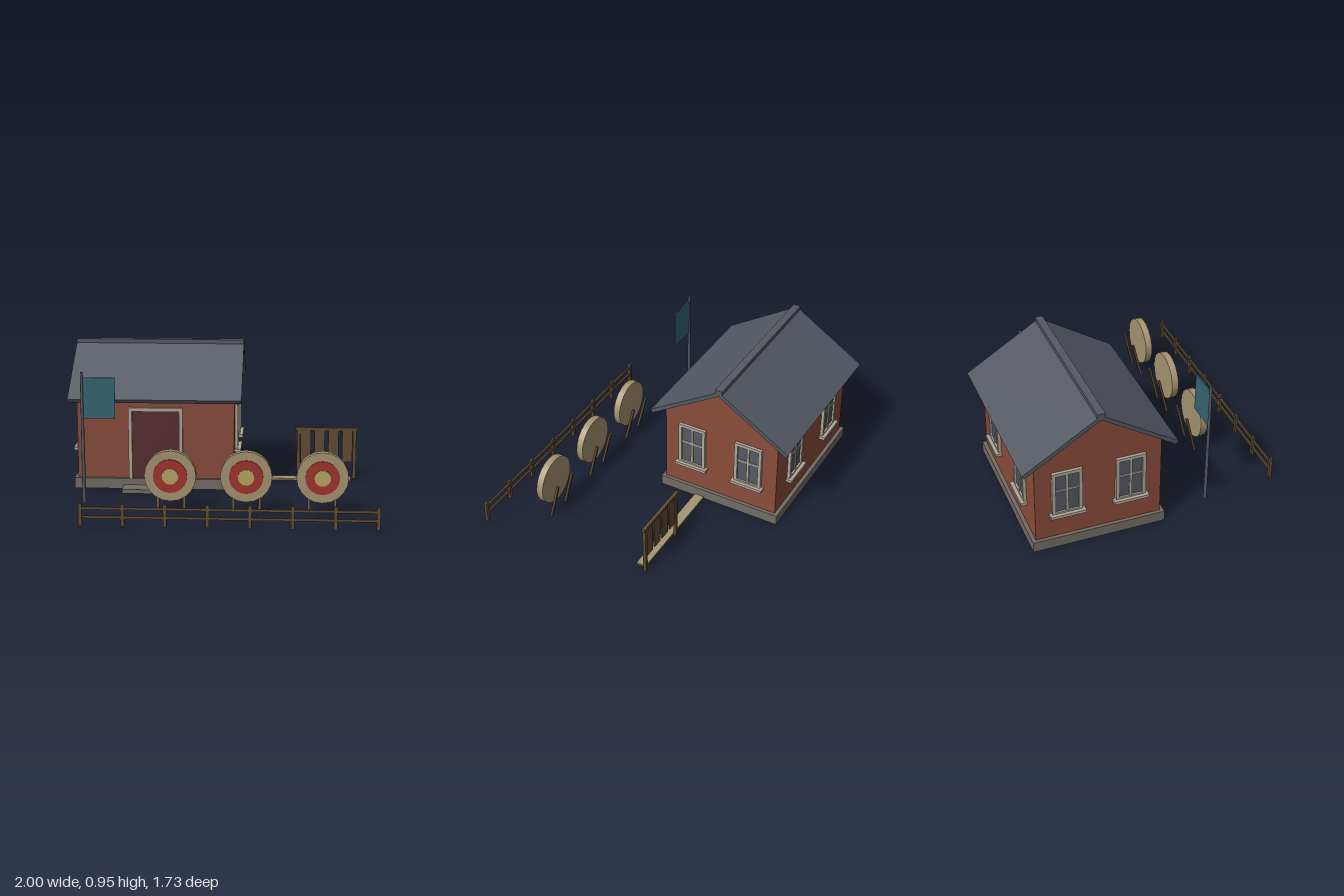
import * as THREE from 'three';

const mat = (name, color) => {
  const m = new THREE.MeshStandardMaterial({ color });
  m.name = name;
  return m;
};

export function createModel() {
  const brick = mat('brick', 0x8a4c3c);
  const slate = mat('slate', 0x555963);
  const trim = mat('trim', 0xb0a898);
  const stone = mat('stone', 0x736d64);
  const doorRed = mat('doorRed', 0x572d30);
  const wood = mat('darkWood', 0x624d32);
  const straw = mat('straw', 0xa69572);
  const red = mat('targetRed', 0xa2332d);
  const gold = mat('targetGold', 0xb8a662);
  const teal = mat('flagTeal', 0x346772);

  const model = new THREE.Group();
  model.name = 'archeryLodge';

  const add = (parent, name, geometry, material, x = 0, y = 0, z = 0) => {
    const mesh = new THREE.Mesh(geometry, material);
    mesh.name = name;
    mesh.position.set(x, y, z);
    parent.add(mesh);
    return mesh;
  };
  // Box given by its minimum and maximum on each axis
  const box = (parent, name, material, x0, x1, y0, y1, z0, z1) =>
    add(parent, name, new THREE.BoxGeometry(x1 - x0, y1 - y0, z1 - z0), material,
      (x0 + x1) / 2, (y0 + y1) / 2, (z0 + z1) / 2);
  const group = (parent, name, x = 0, y = 0, z = 0) => {
    const g = new THREE.Group();
    g.name = name;
    g.position.set(x, y, z);
    parent.add(g);
    return g;
  };
  // Profile in (z, y), extruded along x and centred
  const alongX = (points, length) => {
    const shape = new THREE.Shape(points.map(([a, b]) => new THREE.Vector2(a, b)));
    return new THREE.ExtrudeGeometry(shape, { depth: length, bevelEnabled: false })
      .translate(0, 0, -length / 2).rotateY(Math.PI / 2);
  };

  // House, centred on its own ridge line
  const ground = 0.013;
  const house = group(model, 'house', -0.432, 0, -0.377);
  const halfX = 0.518, halfZ = 0.403;
  box(house, 'foundation', stone, -0.541, 0.541, ground, 0.083, -0.427, 0.427);
  box(house, 'doorStep', stone, -0.213, 0.213, ground, 0.04, 0.427, 0.543);
  add(house, 'walls', alongX([[-halfZ, 0.083], [halfZ, 0.083], [halfZ, 0.655],
    [0, 0.908], [-halfZ, 0.655]], halfX * 2), brick);
  add(house, 'roof', alongX([[-0.478, 0.607], [0, 0.907], [0.478, 0.607],
    [0.491, 0.63], [0, 0.938], [-0.491, 0.63]], 1.136), slate);
  box(house, 'ridgeCap', slate, -0.568, 0.568, 0.918, 0.95, -0.025, 0.025);

  // Door with its frame
  const door = group(house, 'door', 0, 0, halfZ);
  box(door, 'doorPanel', doorRed, -0.155, 0.155, 0.083, 0.537, 0, 0.009);
  for (const s of [-1, 1]) {
    box(door, 'doorJamb', trim, s * 0.167 - 0.012, s * 0.167 + 0.012, 0.083, 0.537, 0, 0.02);
  }
  box(door, 'doorLintel', trim, -0.179, 0.179, 0.537, 0.562, 0, 0.02);

  // Windows on both gables and the back wall
  const addWindow = (x, z, turn) => {
    const w = group(house, 'window', x, 0, z);
    w.rotation.y = turn;
    box(w, 'glass', slate, -0.075, 0.075, 0.26, 0.545, 0, 0.008);
    for (const s of [-1, 1]) {
      box(w, 'frameSide', trim, s * 0.085 - 0.011, s * 0.085 + 0.011, 0.26, 0.565, 0, 0.02);
    }
    box(w, 'frameTop', trim, -0.075, 0.075, 0.543, 0.565, 0, 0.02);
    box(w, 'frameBottom', trim, -0.075, 0.075, 0.26, 0.274, 0, 0.02);
    box(w, 'mullion', trim, -0.008, 0.008, 0.274, 0.543, 0, 0.015);
    box(w, 'crossBar', trim, -0.075, 0.075, 0.423, 0.436, 0, 0.014);
    box(w, 'sill', trim, -0.112, 0.112, 0.243, 0.263, 0, 0.042);
  };
  for (const s of [-1, 1]) {
    addWindow(halfX, s * 0.203, Math.PI / 2);
    addWindow(-halfX, s * 0.203, -Math.PI / 2);
    addWindow(s * 0.258, -halfZ, Math.PI);
  }

  // Flag on its pole
  const flag = group(model, 'flag', -0.86, 0, 0.378);
  add(flag, 'flagPole', new THREE.CylinderGeometry(0.009, 0.012, 0.85, 8), slate, 0, ground + 0.425, 0);
  box(flag, 'flagCloth', teal, 0.008, 0.208, 0.568, 0.83, -0.004, 0.004);

  // Round targets on leaning legs
  const disc = (parent, name, material, radius, z0, z1) =>
    add(parent, name, new THREE.CylinderGeometry(radius, radius, z1 - z0, 20).rotateX(Math.PI / 2),
      material, 0, 0.25, (z0 + z1) / 2);
  for (const x of [-0.291, 0.182, 0.655]) {
    const target = group(model, 'target', x);
    disc(target, 'strawDisc', straw, 0.162, 0.523, 0.569);
    disc(target, 'redRing', red, 0.107, 0.569, 0.576);
    disc(target, 'goldCentre', gold, 0.051, 0.576, 0.582);
    for (const s of [-1, 1]) {
      const leg = add(target, 'targetLeg', new THREE.BoxGeometry(0.016, 0.277, 0.016), wood,
        s * 0.083, 0.1405, 0.488);
      leg.rotation.x = -0.24;
    }
  }

  // Front fence
  const fence = group(model, 'fence', 0, 0, 0.856);
  for (let i = 0; i < 8; i++) {
    const x = -0.813 + i * 0.2568;
    box(fence, 'fencePost', wood, x - 0.011, x + 0.011, ground, 0.155, -0.01, 0.01);
  }
  for (const y of [0.07, 0.125]) {
    box(fence, 'fenceRail', wood, -0.82, 0.995, y - 0.008, y + 0.008, -0.006, 0.006);
  }

  // Rack of hanging boards
  const rack = group(model, 'rack', 0.702, 0, -0.283);
  for (const s of [-1, 1]) {
    box(rack, 'rackPost', wood, s * 0.19 - 0.011, s * 0.19 + 0.011, ground, 0.36, -0.01, 0.01);
  }
  box(rack, 'rackRail', wood, -0.21, 0.21, 0.345, 0.366, -0.011, 0.011);
  for (let i = 0; i < 4; i++) {
    const x = (i - 1.5) * 0.094;
    box(rack, 'hangingBoard', wood, x - 0.035, x + 0.035, 0.125, 0.345, -0.005, 0.005);
  }

  // Ground plank beside the house
  box(model, 'plank', straw, 0.1, 0.868, ground, 0.026, -0.27, -0.204);

  return model;
}
